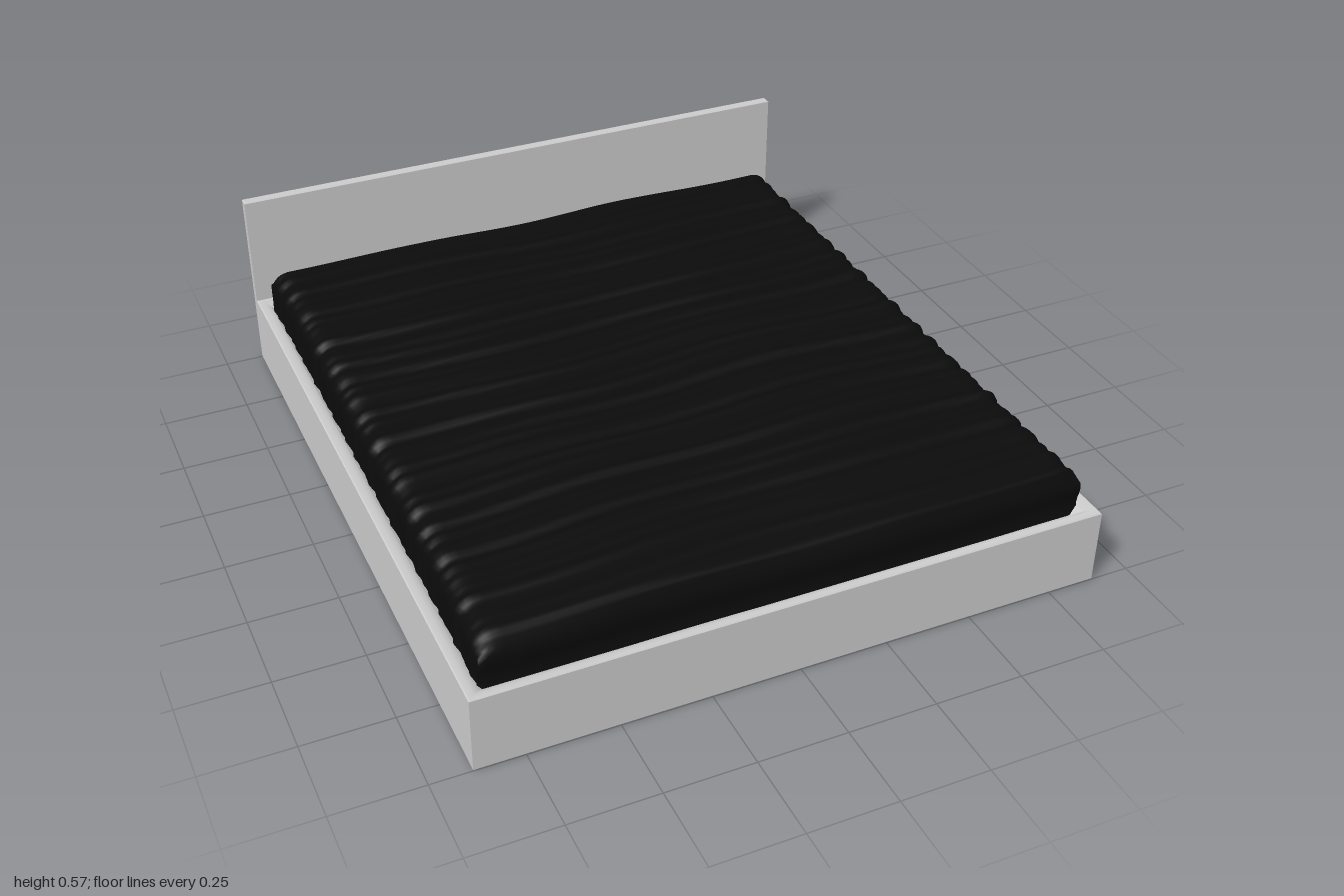
import * as THREE from 'three';
import { mergeVertices, toCreasedNormals } from 'three/addons/utils/BufferGeometryUtils.js';

const grey = new THREE.MeshStandardMaterial({ color: 0xcccccc });
const black = new THREE.MeshStandardMaterial({ color: 0x0b0b0b });

// Closed rectangular solid from stacked rectangles, each given as [inset, y]
function rectLoops(hx, hz, steps) {
  const pos = [], index = [];
  for (const [inset, y] of steps) {
    const x = Math.max(hx - inset, 0), z = Math.max(hz - inset, 0);
    pos.push(x, y, z, x, y, -z, -x, y, -z, -x, y, z);
  }
  for (let i = 0; i < steps.length - 1; i++) {
    for (let j = 0; j < 4; j++) {
      const a = i * 4 + j, b = i * 4 + (j + 1) % 4;
      index.push(a, b, b + 4, a, b + 4, a + 4);
    }
  }
  const g = new THREE.BufferGeometry();
  g.setAttribute('position', new THREE.Float32BufferAttribute(pos, 3));
  g.setIndex(index);
  return toCreasedNormals(g, 0.7);
}

// Irregular folds running across the bed, roughly -1..1
function folds(x, z) {
  const w = z + 0.012 * Math.sin(3.1 * x + 2 * z) + 0.008 * Math.sin(7 * x - 5 * z);
  return 0.4 * Math.sin(61 * w + 1.3 * x) + 0.35 * Math.sin(97 * w + 2 - x)
    + 0.25 * Math.sin(143 * w + 0.7 + 2 * x);
}

// Rounded slab whose surface is rumpled by the folds
function beddingGeometry() {
  const hx = 0.835, hz = 0.932, bottom = 0.18, top = 0.345, cz = 0.01;
  let g = new THREE.BoxGeometry(2, 1, 2, 76, 10, 170);
  g.deleteAttribute('uv');
  g.deleteAttribute('normal');
  g = mergeVertices(g);
  const p = g.attributes.position;
  for (let i = 0; i < p.count; i++) {
    let x = p.getX(i) * hx, z = p.getZ(i) * hz;
    const t = p.getY(i) + 0.5;
    let y = bottom + t * (top - bottom);

    // round the upper edges: wide along the sides, tight at the ends
    const rx = 0.05, rz = 0.022, ry = 0.045;
    const dx = Math.max(Math.abs(x) - (hx - rx), 0) / rx;
    const dz = Math.max(Math.abs(z) - (hz - rz), 0) / rz;
    const dy = Math.max(y - (top - ry), 0) / ry;
    const len = Math.hypot(dx, dy, dz), big = Math.max(dx, dy, dz);
    if (dy > 0 && len > 0) {
      const k = big / len;
      if (dx > 0) x = Math.sign(x) * (hx - rx + dx * k * rx);
      if (dz > 0) z = Math.sign(z) * (hz - rz + dz * k * rz);
      y = top - ry + dy * k * ry;
    }

    // soft swell and folds on the top, stronger toward the middle
    const f = folds(x, z);
    const mid = 1 - Math.pow(Math.abs(z) / hz, 4);
    const swell = 0.003 * Math.sin(9 * x - 1.2) + 0.004 * mid;
    y += t * (swell + f * (0.003 + 0.005 * mid));

    // rumpled sides, flared at the hem and corners; wavy ends
    const sx = Math.pow(Math.abs(x) / hx, 10), sz = Math.pow(Math.abs(z) / hz, 30);
    const corner = Math.pow(Math.abs(z) / hz, 8);
    x += Math.sign(x) * sx * (0.006 * f + 0.008 * (1 - t) + 0.008 * corner);
    z += Math.sign(z) * sz * (0.004 * Math.sin(6 * x) + 0.006 * Math.sin(9 * t - 4));
    p.setXYZ(i, x, y, z + cz);
  }
  g.computeVertexNormals();
  return g;
}

export function createModel() {
  const group = new THREE.Group();
  const add = (name, geometry, material) => {
    const mesh = new THREE.Mesh(geometry, material);
    mesh.name = name;
    group.add(mesh);
    return mesh;
  };

  // low platform with a rim that dips in under the mattress
  add('bedBase', rectLoops(0.887, 0.985, [
    [1, 0], [0.003, 0], [0, 0.003], [0, 0.222], [0.003, 0.225],
    [0.018, 0.225], [0.035, 0.217], [0.055, 0.195], [0.07, 0.19], [1, 0.19],
  ]), grey).position.z = 0.015;

  // thin upright panel with softened edges
  add('headboard', rectLoops(0.887, 0.015, [
    [1, 0], [0.003, 0], [0, 0.003], [0, 0.564], [0.003, 0.567], [1, 0.567],
  ]), grey).position.z = -0.985;

  // rumpled cover over the mattress
  add('bedding', beddingGeometry(), black);
  return group;
}
